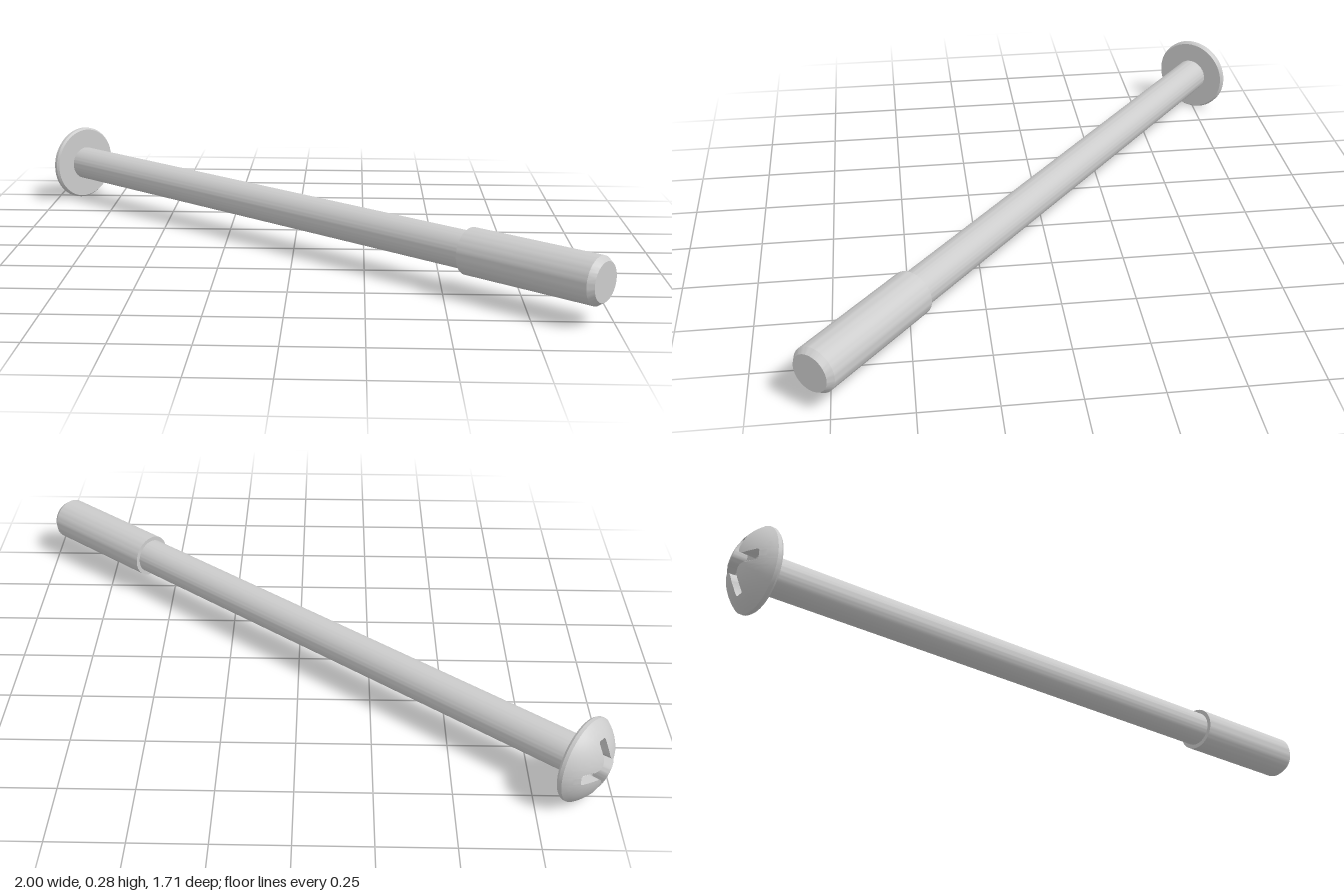
import * as THREE from 'three';
import { toCreasedNormals } from 'three/addons/utils/BufferGeometryUtils.js';

const material = new THREE.MeshStandardMaterial({ color: 0xcccccc });
const LENGTH = 2.402;        // underside of the head to the tip
const THREAD = 0.487;        // length of the thicker end
const HEAD_R = 0.1425, HEAD_H = 0.093, RIM_H = 0.02;

function part(name, geometry) {
  const mesh = new THREE.Mesh(toCreasedNormals(geometry, 0.5), material);
  mesh.name = name;
  return mesh;
}

function lathe(name, profile) {
  return part(name, new THREE.LatheGeometry(profile.map(([r, y]) => new THREE.Vector2(r, y)), 64));
}

// Cross-shaped recess outline: one quadrant, turned four times
function crossOutline() {
  const w = 0.017, l = 0.1, f = 0.055;
  const path = new THREE.Path();
  path.moveTo(l, 0);
  path.lineTo(l, w * 0.5);
  path.quadraticCurveTo(l, w, l - w * 0.5, w);
  path.lineTo(f, w);
  path.quadraticCurveTo(w, w, w, f);
  path.lineTo(w, l - w * 0.5);
  path.quadraticCurveTo(w, l, w * 0.5, l);
  path.lineTo(0, l);
  const quadrant = path.getPoints(12).slice(0, -1);
  const outline = [];
  for (let q = 0; q < 4; q++) {
    for (const p of quadrant) outline.push({ r: p.length(), a: Math.atan2(p.y, p.x) + q * Math.PI / 2 });
  }
  return outline;
}

// Domed head: each spoke runs from the recess floor, over the dome, round the rim to the underside
function headGeometry() {
  const rise = HEAD_H - RIM_H;
  const R = (HEAD_R ** 2 + rise ** 2) / (2 * rise);
  const dome = r => Math.sqrt(R * R - r * r) - R + HEAD_H;
  const floor = 0.04, rings = 10;

  const spokes = crossOutline().map(({ r, a }) => {
    const profile = [[0, floor], [r * 0.95, floor], [r, dome(r)]];
    for (let j = 1; j <= rings; j++) {
      const rj = r + (HEAD_R - r) * j / rings;
      profile.push([rj, dome(rj)]);
    }
    profile.push([HEAD_R, 0.008], [HEAD_R - 0.006, 0], [0, 0]);
    return profile.map(([pr, h]) => [pr * Math.cos(a), h, -pr * Math.sin(a)]);
  });

  const n = spokes.length, m = spokes[0].length;
  const index = [];
  for (let i = 0; i < n; i++) {
    for (let j = 0; j < m - 1; j++) {
      const a = i * m + j, d = ((i + 1) % n) * m + j;
      if (j < m - 2) index.push(a, a + 1, d + 1);
      if (j > 0) index.push(a, d + 1, d);
    }
  }
  const geometry = new THREE.BufferGeometry();
  geometry.setAttribute('position', new THREE.Float32BufferAttribute(spokes.flat(2), 3));
  geometry.setIndex(index);
  return geometry;
}

export function createModel() {
  const model = new THREE.Group();
  model.name = 'screw';

  // Built along its own axis: underside of the head at 0, tip below
  const screw = new THREE.Group();
  screw.name = 'screwBody';
  const top = -LENGTH + THREAD;
  screw.add(
    part('head', headGeometry()),
    lathe('shank', [[0.063, top - 0.01], [0.063, 0.005]]),
    lathe('threadedEnd', [[0, -LENGTH], [0.064, -LENGTH], [0.078, -LENGTH + 0.02], [0.078, top], [0, top]])
  );

  // Laid flat, diagonally across the ground
  screw.rotation.set(0, -0.693, Math.PI / 2, 'YXZ');
  screw.position.set(-0.889, HEAD_R, -0.735);
  model.add(screw);
  return model;
}
